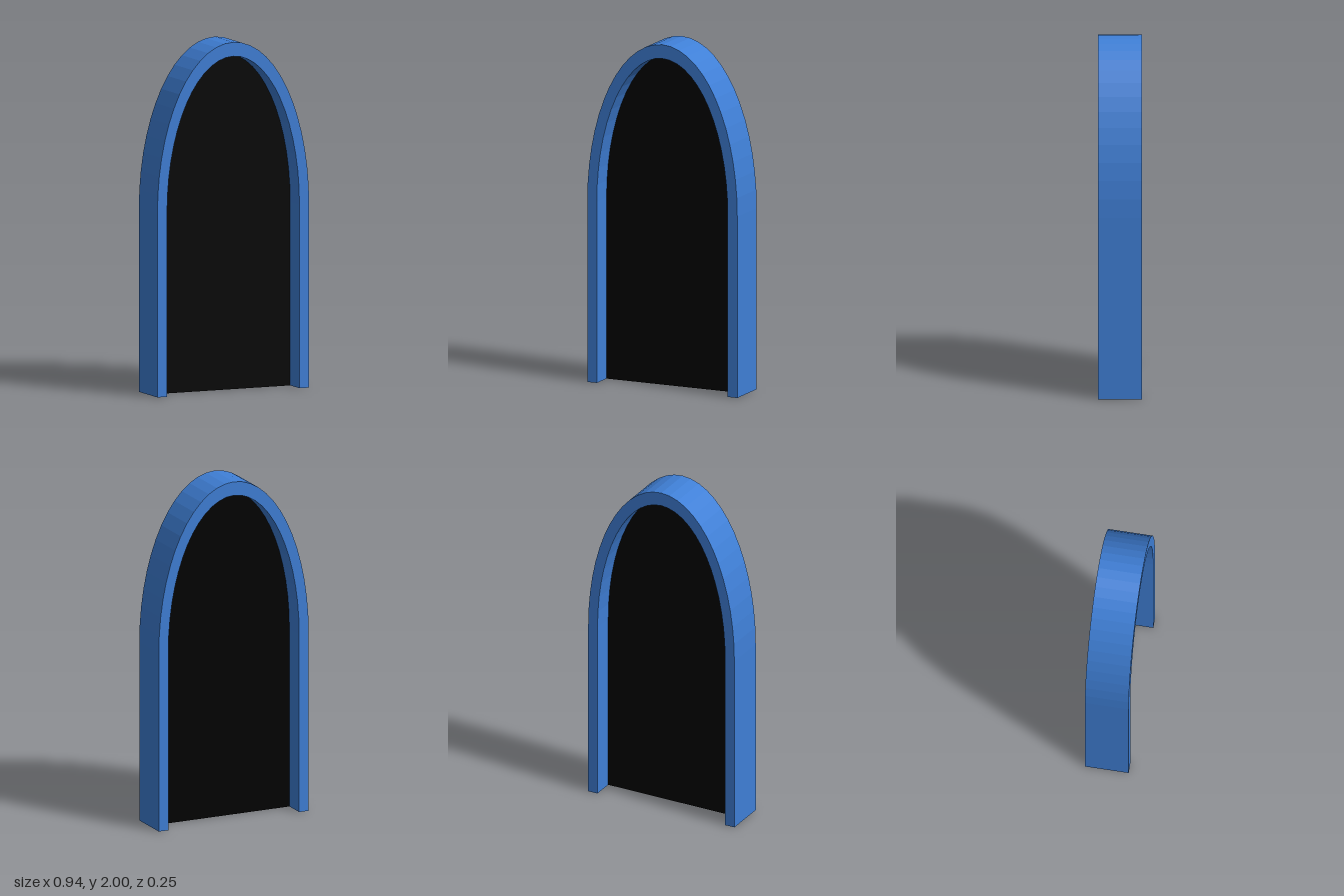
import * as THREE from 'three';

const SPRING = 1.05; // height where the straight sides meet the arch
const DEPTH = 0.25;
const SEGMENTS = 28;

// Points along an arch, from the right foot over the crown to the left foot
function archPoints(halfWidth, top) {
  const points = [new THREE.Vector2(halfWidth, 0)];
  for (let i = 0; i <= SEGMENTS; i++) {
    const a = (Math.PI * i) / SEGMENTS;
    points.push(new THREE.Vector2(halfWidth * Math.cos(a), SPRING + (top - SPRING) * Math.sin(a)));
  }
  points.push(new THREE.Vector2(-halfWidth, 0));
  return points;
}

export function createModel() {
  const model = new THREE.Group();
  model.name = 'archedDoorway';

  const outer = archPoints(0.472, 2);
  const inner = archPoints(0.412, 1.92);

  // Faceted frame, open at the bottom
  const frameGeometry = new THREE.ExtrudeGeometry(
    new THREE.Shape([...outer, ...inner.slice().reverse()]),
    { depth: DEPTH, bevelEnabled: false }
  );
  frameGeometry.translate(0, 0, -DEPTH / 2);
  const frame = new THREE.Mesh(
    frameGeometry,
    new THREE.MeshStandardMaterial({ color: 0x3f7fd6, flatShading: true })
  );
  frame.name = 'archFrame';
  model.add(frame);

  // Thin dark panel filling the opening at mid depth
  const panel = new THREE.Mesh(
    new THREE.ShapeGeometry(new THREE.Shape(inner)),
    new THREE.MeshStandardMaterial({ color: 0x000000, side: THREE.DoubleSide })
  );
  panel.name = 'doorPanel';
  model.add(panel);

  return model;
}
